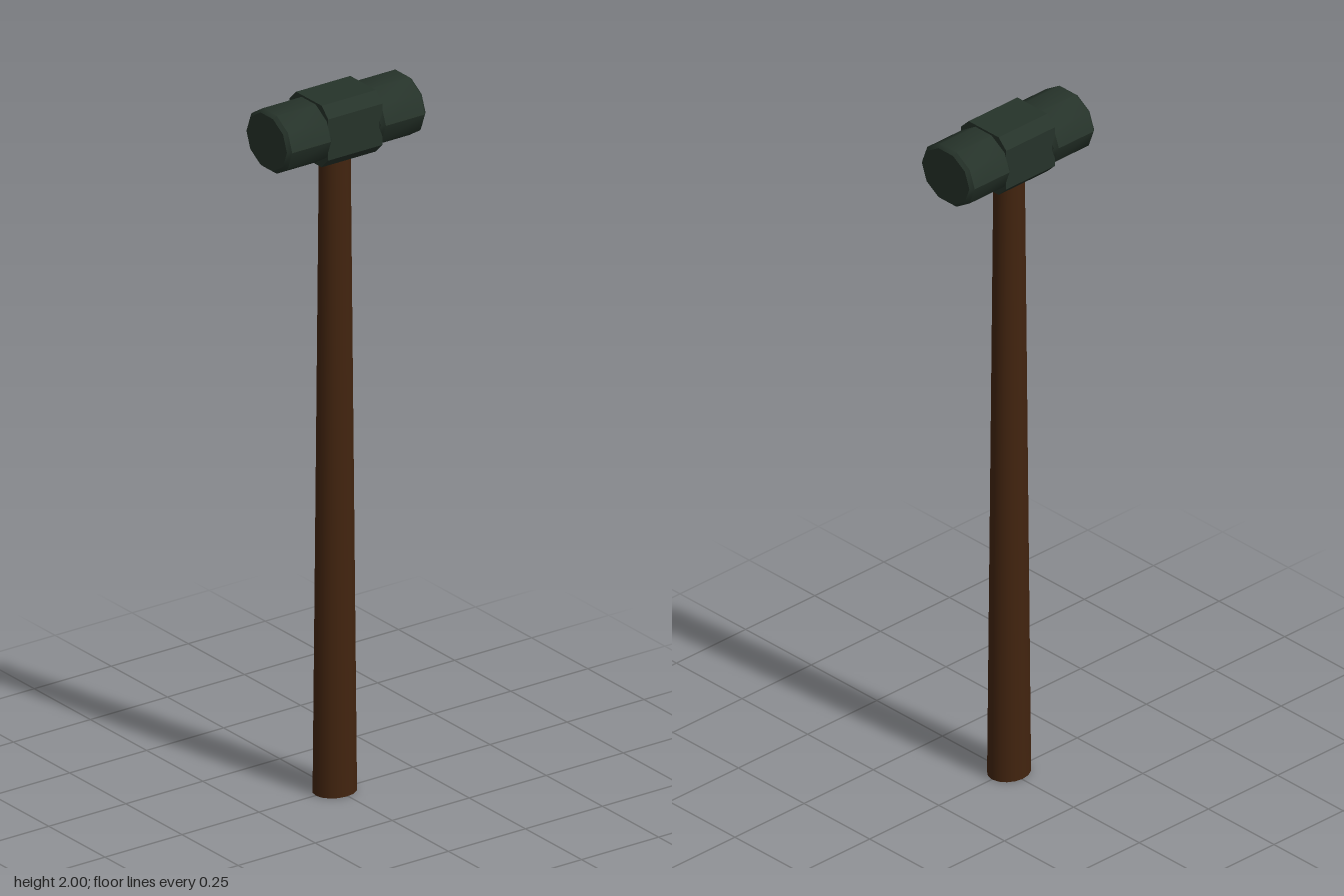
import * as THREE from 'three';
import { toCreasedNormals } from 'three/addons/utils/BufferGeometryUtils.js';

const steel = new THREE.MeshStandardMaterial({ color: 0x26332a });
steel.name = 'dark green steel';
const wood = new THREE.MeshStandardMaterial({ color: 0x42240f });
wood.name = 'brown wood';

const HEAD_Y = 1.912;

function addMesh(parent, name, geometry, material) {
  const mesh = new THREE.Mesh(geometry, material);
  mesh.name = name;
  parent.add(mesh);
  return mesh;
}

// Striking end: a bevelled, slightly flattened drum lying along x
function strikingEnd() {
  const profile = [[0, -0.073], [0.09, -0.073], [0.1, -0.063], [0.1, 0.063], [0.09, 0.073], [0, 0.073]];
  const g = new THREE.LatheGeometry(profile.map(([r, h]) => new THREE.Vector2(r, h)), 10);
  g.scale(0.872, 1, 1);
  g.rotateZ(-Math.PI / 2);
  return toCreasedNormals(g, 0.7);
}

// Middle block: a square bar with chamfered long edges
function middleBlock() {
  const w = 0.086, h = 0.088, c = 0.029;
  const outline = [
    [w, -h + c], [w, h - c], [w - c, h], [-w + c, h],
    [-w, h - c], [-w, -h + c], [-w + c, -h], [w - c, -h],
  ];
  const shape = new THREE.Shape(outline.map(([x, y]) => new THREE.Vector2(x, y)));
  const g = new THREE.ExtrudeGeometry(shape, { depth: 0.176, bevelEnabled: false });
  g.translate(0, 0, -0.088);
  g.rotateY(Math.PI / 2);
  return g;
}

export function createModel() {
  const model = new THREE.Group();
  model.name = 'sledgehammer';

  // Head
  const head = new THREE.Group();
  head.name = 'head';
  head.position.y = HEAD_Y;
  model.add(head);
  addMesh(head, 'middleBlock', middleBlock(), steel);
  for (const side of [1, -1]) {
    const end = addMesh(head, side > 0 ? 'leftStrikingEnd' : 'rightStrikingEnd', strikingEnd(), steel);
    end.position.x = side * 0.152;
  }

  // Handle: oval shaft, thicker towards the grip
  const shaft = new THREE.CylinderGeometry(0.044, 0.062, 1.87, 16);
  shaft.scale(1, 1, 0.86);
  const handle = addMesh(model, 'handle', shaft, wood);
  handle.position.set(-0.004, 0.935, 0);

  return model;
}
